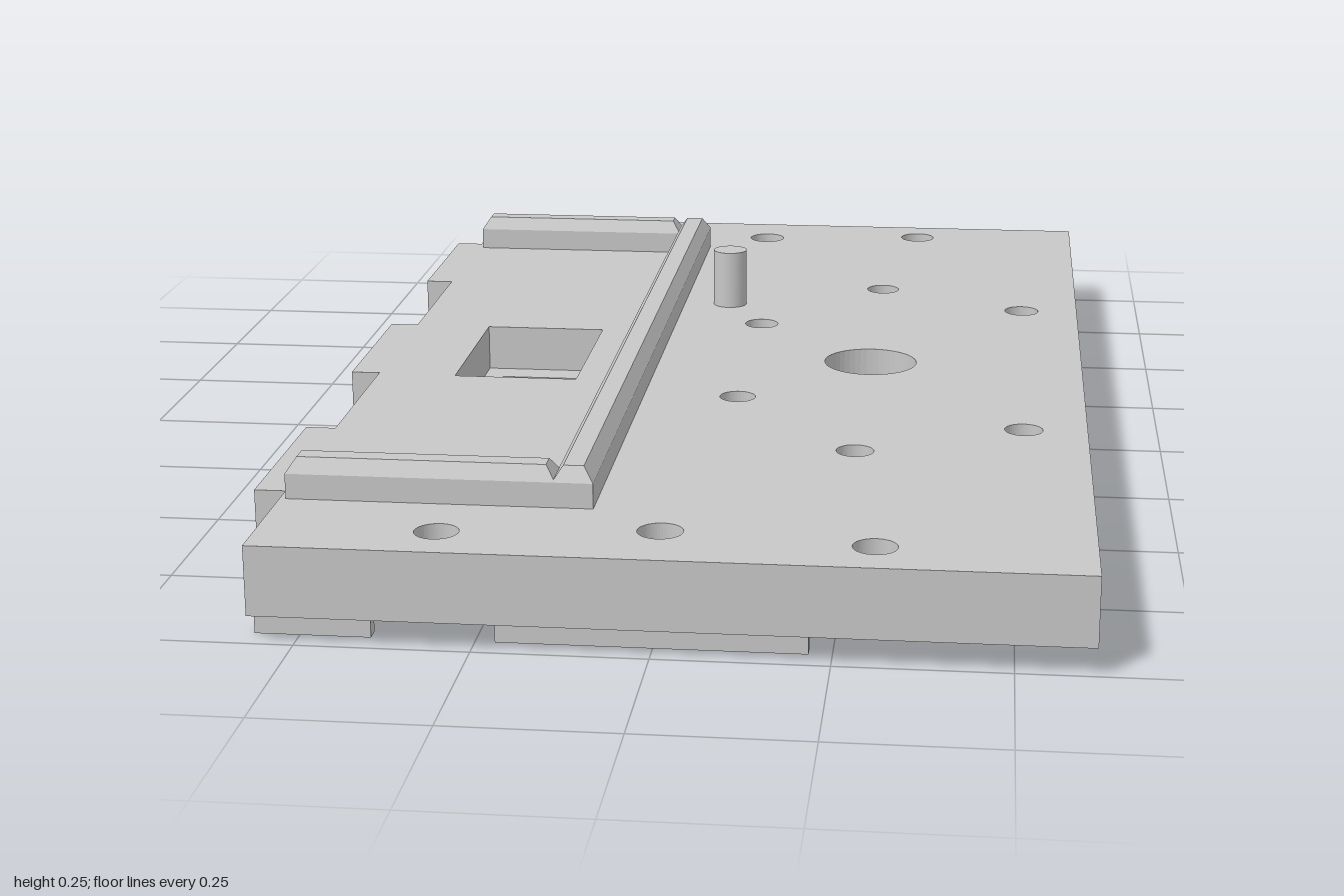
import * as THREE from 'three';

const BOTTOM = 0.041, SILL = 0.068, LEDGE = 0.105, TOP = 0.145, RIGHT = 0.612;

// Closed path from [x, z] points, counter-clockwise seen from above
function outline(points, Type = THREE.Path) {
  const p = new Type();
  points.forEach(([x, z], i) => (i ? p.lineTo(x, -z) : p.moveTo(x, -z)));
  p.closePath();
  return p;
}
const rect = (x0, x1, z0, z1, Type) =>
  outline([[x0, z0], [x0, z1], [x1, z1], [x1, z0]], Type);

function circle(x, z, r, Type = THREE.Path) {
  const p = new Type();
  p.absarc(x, -z, r, 0, Math.PI * 2, false);
  return p;
}

export function createModel() {
  const group = new THREE.Group();
  const grey = new THREE.MeshStandardMaterial({ color: 0xc8c8c8 });
  grey.name = 'grey';

  const add = (name, geometry) => {
    const mesh = new THREE.Mesh(geometry, grey);
    mesh.name = name;
    group.add(mesh);
    return mesh;
  };
  const box = (name, x0, x1, y0, y1, z0, z1) =>
    add(name, new THREE.BoxGeometry(x1 - x0, y1 - y0, z1 - z0))
      .position.set((x0 + x1) / 2, (y0 + y1) / 2, (z0 + z1) / 2);
  // Horizontal slab with holes, from y0 up to y1
  const slab = (name, shape, holes, y0, y1) => {
    shape.holes.push(...holes);
    const g = new THREE.ExtrudeGeometry(shape, { depth: y1 - y0, bevelEnabled: false, curveSegments: 24 });
    g.rotateX(-Math.PI / 2);
    g.translate(0, y0, 0);
    add(name, g);
  };
  const both = (fn) => [1, -1].flatMap(fn);

  // Top deck with its drilled holes and window
  slab('deck', rect(-0.5, RIGHT, -1, 1, THREE.Shape), [
    circle(0.254, 0, 0.078),
    rect(-0.435, -0.23, -0.155, 0.155),
    ...both((s) => [
      circle(0.305, s * 0.915, 0.032), circle(-0.31, s * 0.915, 0.032),
      circle(0.002, s * 0.882, 0.033), circle(0.254, s * 0.492, 0.029),
      circle(0.048, s * 0.226, 0.029), circle(0.512, s * 0.36, 0.03),
    ]),
  ], LEDGE, TOP);

  // Underside border around the hollow
  slab('lowerBorder', rect(-0.5, RIGHT, -1, 1, THREE.Shape), [
    outline([[-0.4, -0.74], [-0.4, -0.18], [-0.455, -0.18], [-0.455, 0.18], [-0.4, 0.18],
      [-0.4, 0.74], [0.39, 0.74], [0.39, 0.87], [0.547, 0.87],
      [0.547, -0.87], [0.39, -0.87], [0.39, -0.74]]),
    ...both((s) => [
      circle(0.305, s * 0.915, 0.018), circle(-0.31, s * 0.915, 0.018),
      circle(0.002, s * 0.882, 0.033),
    ]),
  ], BOTTOM, LEDGE);

  // Recessed window frame with its sill, and the large bore ring
  slab('windowFrame', rect(-0.455, -0.2, -0.18, 0.18, THREE.Shape),
    [rect(-0.435, -0.23, -0.155, 0.155)], SILL, LEDGE);
  slab('windowSill', rect(-0.455, -0.2, -0.18, 0.18, THREE.Shape),
    [rect(-0.402, -0.262, -0.105, 0.1)], BOTTOM, SILL);
  slab('boreRing', circle(0.254, 0, 0.1, THREE.Shape), [circle(0.254, 0, 0.078)], BOTTOM, LEDGE);

  // Square bosses around the holes
  for (const s of [1, -1]) {
    for (const [x, z, r] of [[0.254, 0.492, 0.029], [0.048, 0.226, 0.029], [-0.21, 0.55, 0.02]]) {
      slab('boss', rect(x - 0.07, x + 0.07, s * z - 0.07, s * z + 0.07, THREE.Shape),
        [circle(x, s * z, r)], BOTTOM, LEDGE);
    }
    box('crossRib', -0.4, 0.547, BOTTOM, LEDGE, s * 0.36 - 0.015, s * 0.36 + 0.015);
  }

  // Ribs through the hollow
  for (const x of [0.14, -0.105]) box('longRib', x - 0.015, x + 0.015, BOTTOM, LEDGE, -0.74, 0.74);
  box('centreRib', -0.2, 0.158, BOTTOM, LEDGE, -0.015, 0.015);
  box('centreRib', 0.348, 0.547, BOTTOM, LEDGE, -0.015, 0.015);

  // Side edge with two cross-drilled holes
  const edge = new THREE.Shape();
  edge.moveTo(-1, BOTTOM).lineTo(1, BOTTOM).lineTo(1, TOP).lineTo(-1, TOP).closePath();
  for (const s of [1, -1]) {
    const hole = new THREE.Path();
    hole.absarc(s * 0.305, 0.095, 0.022, 0, Math.PI * 2, false);
    edge.holes.push(hole);
  }
  const edgeGeometry = new THREE.ExtrudeGeometry(edge, { depth: 0.065, bevelEnabled: false, curveSegments: 16 });
  edgeGeometry.rotateY(Math.PI / 2);
  edgeGeometry.translate(-0.565, 0, 0);
  add('sideEdge', edgeGeometry);

  // Tabs along that edge
  for (const z of [-0.618, -0.002, 0.613]) box('tab', -0.612, -0.565, BOTTOM, TOP, z - 0.153, z + 0.153);

  // Feet below the plate
  box('sideFoot', 0.547, 0.568, 0, BOTTOM, -0.725, 0.725);
  for (const s of [1, -1]) {
    const z = s * 0.95;
    box('cornerFoot', -0.565, -0.398, 0, BOTTOM, z - 0.011, z + 0.011);
    box('endFoot', -0.222, 0.217, 0, BOTTOM, z - 0.011, z + 0.011);
  }

  // Rails with chamfered tops
  const rail = (name, x0, x1, z0, z1) => {
    const w = x1 - x0, d = z1 - z0, h = 0.06, inset = 0.015;
    let g = new THREE.BoxGeometry(w, h, d, 1, 2, 1);
    const p = g.attributes.position;
    for (let i = 0; i < p.count; i++) {
      if (Math.abs(p.getY(i)) < 0.001) p.setY(i, h / 2 - 0.022);
      else if (p.getY(i) > 0) {
        p.setX(i, p.getX(i) - Math.sign(p.getX(i)) * inset);
        p.setZ(i, p.getZ(i) - Math.sign(p.getZ(i)) * inset);
      }
    }
    g = g.toNonIndexed();
    g.computeVertexNormals();
    add(name, g).position.set((x0 + x1) / 2, TOP + h / 2, (z0 + z1) / 2);
  };
  rail('longRail', -0.165, -0.105, -0.8, 0.8);
  rail('endRail', -0.556, -0.16, 0.74, 0.8);
  rail('endRail', -0.556, -0.16, -0.8, -0.74);

  // Upright pin
  add('pin', new THREE.CylinderGeometry(0.03, 0.03, 0.102, 32)).position.set(-0.022, TOP + 0.051, -0.36);

  return group;
}
